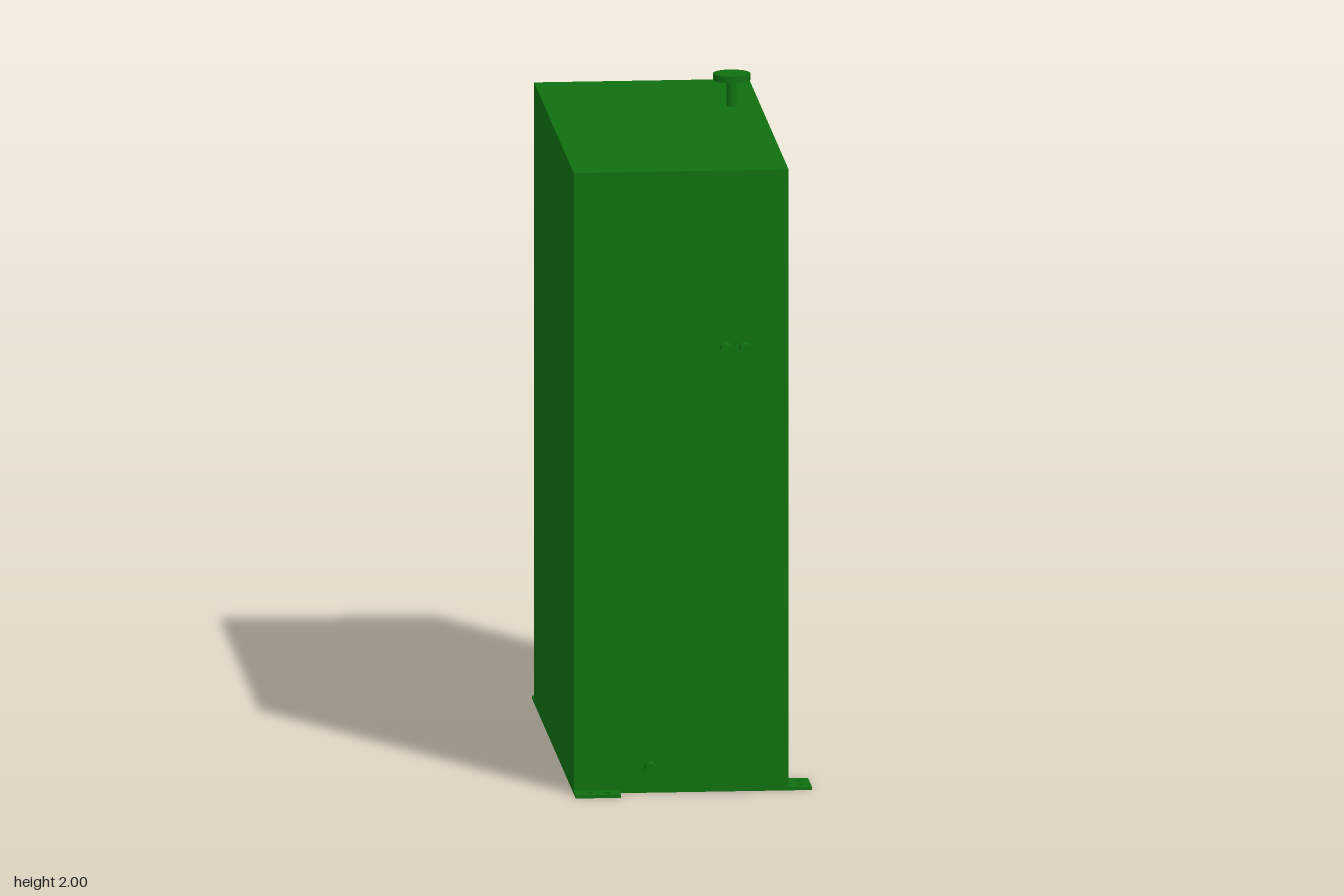
import * as THREE from 'three';

export function createModel() {
  const model = new THREE.Group();
  model.name = 'tank';
  const material = new THREE.MeshStandardMaterial({ color: 0x107010 });

  const add = (name, geometry, x, y, z) => {
    const mesh = new THREE.Mesh(geometry, material);
    mesh.name = name;
    mesh.position.set(x, y, z);
    model.add(mesh);
    return mesh;
  };

  // Tank body
  const left = 0.287, right = -0.36, halfDepth = 0.694, height = 1.9;
  add('tankBody', new THREE.BoxGeometry(left - right, height, halfDepth * 2),
    (left + right) / 2, height / 2, 0);

  // Filler neck and cap
  add('fillerNeck', new THREE.CylinderGeometry(0.015, 0.015, 0.08, 24), 0.2, 1.94, -0.288);
  add('fillerCap', new THREE.CylinderGeometry(0.056, 0.056, 0.02, 48), 0.2, 1.99, -0.288);

  // Short pipe stubs on the front and back
  const stub = new THREE.CylinderGeometry(0.018, 0.018, 0.04, 24).rotateX(Math.PI / 2);
  const stubZ = halfDepth + 0.02;
  add('drainPipe', stub, -0.13, 0.078, stubZ);
  add('upperPipeRight', stub, 0.098, 1.357, stubZ);
  add('upperPipeLeft', stub, 0.155, 1.357, stubZ);
  add('backPipe', stub, 0.04, 0.078, -stubZ);

  // Flat mounting tab with two bolt holes
  const outline = new THREE.Shape([
    [-0.068, -0.035], [0.068, -0.035], [0.068, 0.035], [-0.068, 0.035],
  ].map(([x, y]) => new THREE.Vector2(x, y)));
  for (const x of [-0.026, 0.026]) {
    outline.holes.push(new THREE.Path().absarc(x, 0, 0.011, 0, Math.PI * 2, true));
  }
  const tab = new THREE.ExtrudeGeometry(outline, { depth: 0.01, bevelEnabled: false, curveSegments: 16 })
    .rotateX(-Math.PI / 2);
  const tabZ = halfDepth + 0.035;
  add('frontRightTab', tab, right + 0.068, 0, tabZ);
  add('backRightTab', tab, right + 0.068, 0, -tabZ);
  add('backLeftTab', tab, left - 0.068, 0, -tabZ);
  add('frontLeftTab', tab, left + 0.035, 0, halfDepth - 0.068).rotation.y = Math.PI / 2;

  return model;
}
